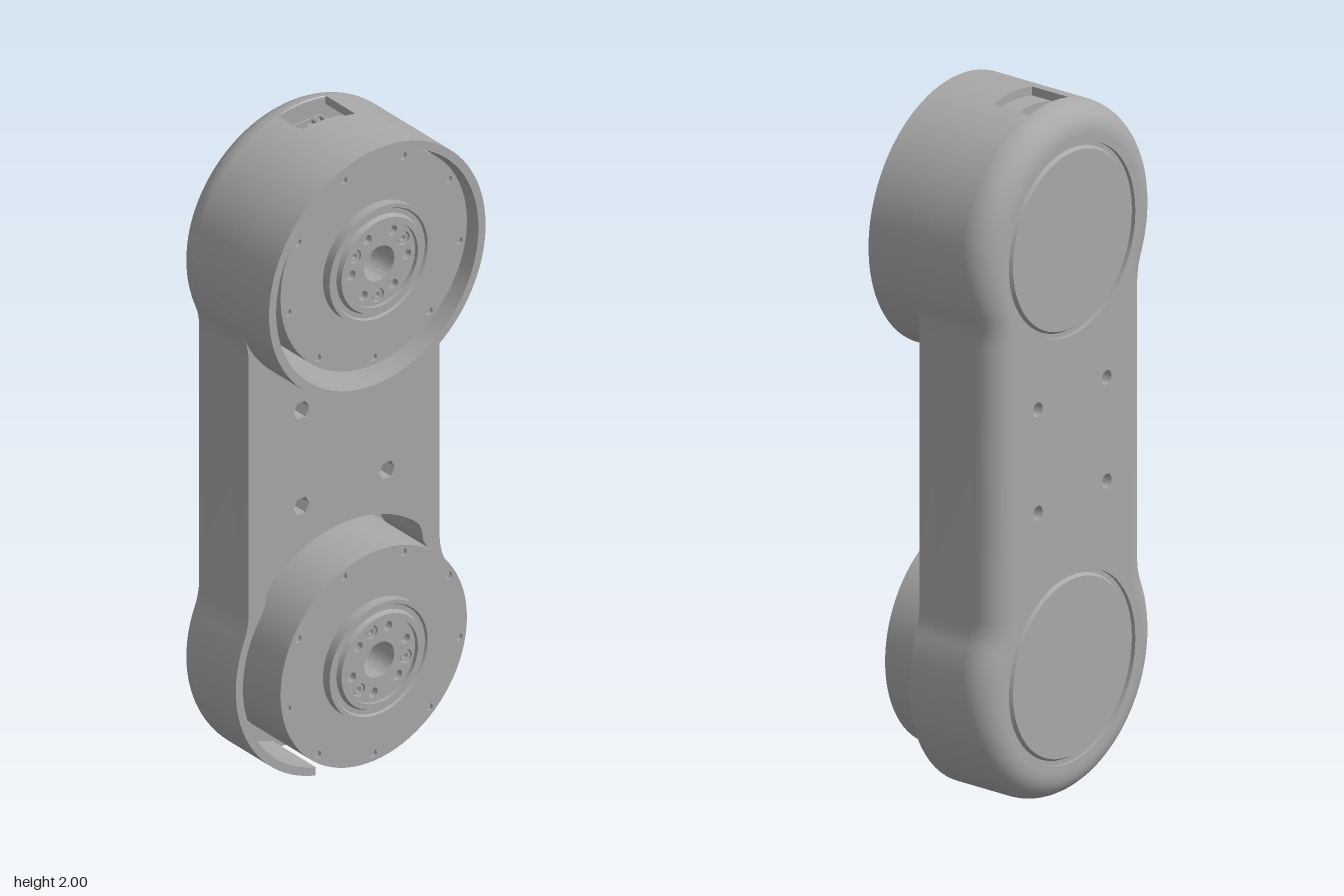
import * as THREE from 'three';
import { toCreasedNormals } from 'three/addons/utils/BufferGeometryUtils.js';

const grey = new THREE.MeshStandardMaterial({ color: 0xa8a8a8 });
grey.name = 'grey';

const R = 0.38, LOW = 0.38, HIGH = 1.62;        // end circles of the arm
const WAIST = 0.335, FILLET = 0.2, BORE = 0.355; // waist half width, neck fillet, pocket radius
const BACK = -0.21, FLOOR = -0.13, FRONT = 0.05, RIM = 0.19;
const deg = Math.PI / 180;
const V = (x, y) => new THREE.Vector2(x, y);

function mesh(name, geometry, crease = 0.6) {
  const m = new THREE.Mesh(toCreasedNormals(geometry, crease), grey);
  m.name = name;
  return m;
}

function arc(cx, cy, r, a0, a1, n) {
  return Array.from({ length: n + 1 }, (_, i) => {
    const a = a0 + (a1 - a0) * i / n;
    const rad = typeof r === 'function' ? r(a) : r;
    return V(cx + rad * Math.cos(a), cy + rad * Math.sin(a));
  });
}

// Half outline from bottom to top, offset inwards; the gaps are slot half angles
function side(inset = 0, bottomGap = 0, topGap = 0) {
  const fx = WAIST + FILLET;
  const t = Math.acos(fx / (R + FILLET));
  const dy = (R + FILLET) * Math.sin(t), q = Math.PI / 2;
  return [
    ...arc(0, LOW, R - inset, -q + bottomGap, t, 40).slice(0, -1),
    ...arc(fx, LOW + dy, FILLET + inset, Math.PI + t, Math.PI, 8),
    ...arc(fx, HIGH - dy, FILLET + inset, Math.PI, Math.PI - t, 8).slice(0, -1),
    ...arc(0, HIGH, R - inset, -t, q - topGap, 40),
  ];
}
const mirror = (pts) => pts.map((p) => V(-p.x, p.y)).reverse();
function outline(inset = 0) {
  const s = side(inset);
  return [...s, ...mirror(s).slice(1, -1)];
}

const circle = (x, y, r, n = 24) => arc(x, y, r, 0, 2 * Math.PI, n).slice(0, -1);
function extrude(points, holes, z0, z1) {
  const shape = new THREE.Shape(points);
  shape.holes = holes.map((h) => new THREE.Path(h));
  const g = new THREE.ExtrudeGeometry(shape, { depth: z1 - z0, bevelEnabled: false });
  return g.translate(0, 0, z0);
}

function screwHoles(r, sides) {
  const list = [];
  for (const x of [-0.15, 0.15]) for (const y of [0.875, 1.175]) list.push(circle(x, y, r, sides));
  return list;
}

// Rounded edge around the back, lofted through offset outlines
function backEdge() {
  const steps = 10, pos = [], idx = [], r = FLOOR - BACK;
  let n = 0;
  for (let i = 0; i <= steps; i++) {
    const a = i / steps * Math.PI / 2;
    const ring = outline(r * (1 - Math.cos(a)));
    n = ring.length;
    ring.forEach((p) => pos.push(p.x, p.y, FLOOR - r * Math.sin(a)));
  }
  for (let i = 0; i < steps; i++) for (let j = 0; j < n; j++) {
    const k = (j + 1) % n, a = i * n + j, b = i * n + k;
    idx.push(a, a + n, b, b, a + n, b + n);
  }
  const g = new THREE.BufferGeometry();
  g.setAttribute('position', new THREE.Float32BufferAttribute(pos, 3));
  g.setIndex(idx);
  return g;
}

function lathe(profile, n = 80) {
  return new THREE.LatheGeometry(profile.map(([r, z]) => V(r, z)), n).rotateX(Math.PI / 2);
}

function createHousing() {
  const g = new THREE.Group();
  g.name = 'housing';
  const q = Math.PI / 2;

  // Back shell with a round cover at each end
  const covers = [LOW, HIGH].map((y) => circle(0, y, 0.275, 72));
  g.add(mesh('backEdge', backEdge()));
  g.add(mesh('backPlate', extrude(outline(R - 0.3), [...screwHoles(0.021, 20), ...covers], BACK, FLOOR - 0.004)));
  g.add(mesh('pocketFloor', extrude(outline(0.006), screwHoles(0.016, 20), FLOOR - 0.006, FLOOR)));
  for (const y of [LOW, HIGH]) {
    const cover = mesh('backCover', lathe([
      [0.276, -0.14], [0.276, BACK + 0.012], [0.262, BACK + 0.012], [0.255, BACK + 0.002], [0, BACK + 0.002],
    ].map(([r, z]) => [r, -z])).rotateY(Math.PI));
    cover.geometry = toCreasedNormals(lathe([
      [0, BACK + 0.002], [0.255, BACK + 0.002], [0.262, BACK + 0.012], [0.276, BACK + 0.012], [0.276, -0.14],
    ]), 0.6);
    cover.position.y = y;
    g.add(cover);
  }

  // Walls around the pockets: slot at the bottom, connector window at the top
  const slot = [Math.asin(0.1 / R), Math.asin(0.1 / BORE)];
  const win = [Math.asin(0.084 / R), Math.asin(0.084 / BORE)];
  const bulge = (a) => BORE + 0.033 * THREE.MathUtils.smoothstep(Math.sin(a), 0.6, 0.75);
  const lowPocket = arc(0, LOW, bulge, -q - slot[1], -5 * q + slot[1], 90);
  const highPocket = arc(0, HIGH, BORE, q - win[1], -3 * q + win[1], 90);
  const open = side(0, slot[0], win[0]), closed = side(0, slot[0], 0);
  g.add(mesh('rearWall', extrude(
    [...open, ...highPocket, ...mirror(open), ...lowPocket], screwHoles(0.016, 20), FLOOR, -0.005)));
  g.add(mesh('frontWall', extrude(
    [...closed, ...mirror(closed).slice(1), ...lowPocket],
    [circle(0, HIGH, BORE, 90), ...screwHoles(0.028, 6)], -0.005, FRONT)));

  // Tall collar around the upper motor
  g.add(mesh('upperCollar', extrude(circle(0, HIGH, R, 96), [circle(0, HIGH, BORE, 90)], FRONT, RIM)));
  return g;
}

// Motor with stepped output hub; turn is the angle of the first hub bolt
function createMotor(name, y, turn) {
  const g = new THREE.Group();
  g.name = name;
  g.add(mesh('motorBody', lathe([
    [0, -0.06], [0.327, -0.06], [0.327, 0.165], [0.178, 0.165], [0.178, 0.203], [0.166, 0.203],
    [0.162, 0.196], [0.148, 0.196], [0.142, 0.21], [0.126, 0.21], [0.126, 0.178], [0.053, 0.178],
    [0.053, 0.11], [0, 0.11],
  ]), 0.4));

  // Face ring with nine screw holes
  const rimHoles = Array.from({ length: 9 }, (_, i) => {
    const a = (70 + 40 * i) * deg;
    return circle(0.305 * Math.cos(a), 0.305 * Math.sin(a), 0.011, 14);
  });
  g.add(mesh('motorFace', extrude(circle(0, 0, 0.327, 80), [circle(0, 0, 0.177, 80), ...rimHoles], 0.165, 0.175)));

  // Hub plate: three bolts, each between two plain holes
  const hubHoles = [];
  for (let i = 0; i < 3; i++) for (const d of [-33, 0, 33]) {
    const a = (turn + 120 * i + d) * deg, x = 0.098 * Math.cos(a), h = 0.098 * Math.sin(a);
    hubHoles.push(circle(x, h, d ? 0.015 : 0.02, 20));
    if (d) continue;
    const bolt = mesh('hubBolt', extrude(circle(x, h, 0.016, 20), [circle(x, h, 0.009, 6)], 0.178, 0.195));
    g.add(bolt);
  }
  g.add(mesh('hubPlate', extrude(circle(0, 0, 0.127, 64), [circle(0, 0, 0.053, 40), ...hubHoles], 0.178, 0.198)));
  g.position.y = y;
  return g;
}

// Sockets seen through the window in the top
function createConnector() {
  const g = new THREE.Group();
  g.name = 'connector';
  const board = mesh('connectorBoard', new THREE.BoxGeometry(0.13, 0.02, 0.066));
  board.position.set(0, 1.9, -0.094);
  g.add(board);
  const rect = (w, h) => [V(-w, -h), V(w, -h), V(w, h), V(-w, h)];
  const socket = (x, w, pins) => {
    const s = mesh('socket', extrude(rect(w, 0.02), [rect(w - 0.005, 0.015)], 0, 0.035).rotateX(-Math.PI / 2));
    s.position.set(x, 1.91, -0.104);
    g.add(s);
    for (const [px, pz, r] of pins) {
      const p = mesh('pin', new THREE.CylinderGeometry(r, r, 0.028, 16));
      p.position.set(x + px, 1.924, -0.104 + pz);
      g.add(p);
    }
  };
  socket(-0.009, 0.04, [[-0.02, 0, 0.009], [0.02, 0, 0.009]]);
  socket(0.046, 0.013, [[0, -0.007, 0.003], [0, 0.007, 0.003]]);
  return g;
}

export function createModel() {
  const model = new THREE.Group();
  model.name = 'robotArmLink';
  model.add(createHousing());
  model.add(createMotor('upperMotor', 1.645, 28));
  model.add(createMotor('lowerMotor', 0.405, 105));
  model.add(createConnector());
  return model;
}
